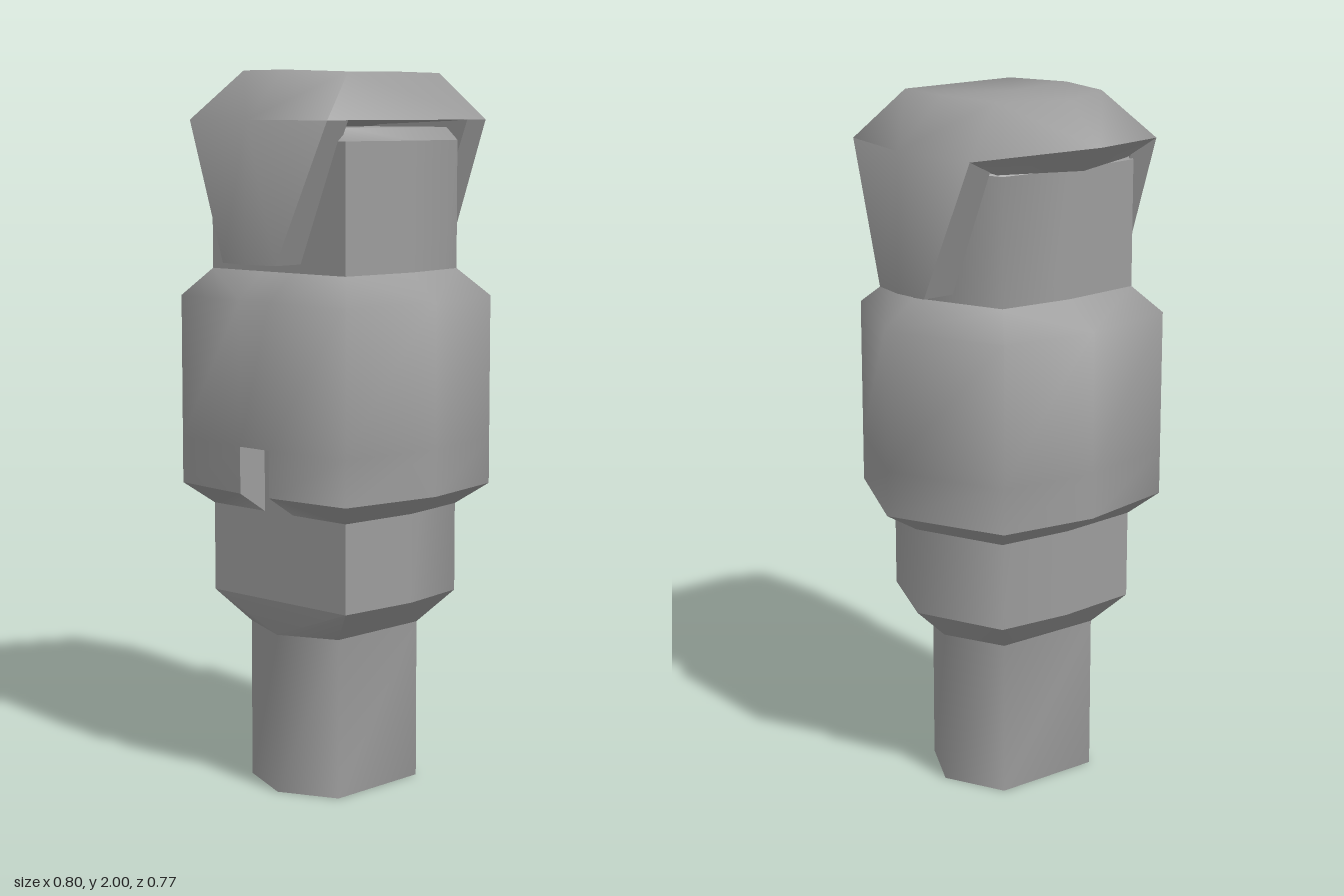
import * as THREE from 'three';
import { mergeGeometries, toCreasedNormals } from 'three/addons/utils/BufferGeometryUtils.js';

const material = new THREE.MeshStandardMaterial({ color: 0x9c9c9c });

// Ring of [x, z] (or [x, z, own y]) points, listed back -> +x -> front -> -x.
const ring = (y, pts) => pts.map(([x, z, py = y]) => new THREE.Vector3(x, py, z));

// Ring scaled about the body axis.
const scaled = (pts, s) => pts.map(([x, z]) => [0.025 + (x - 0.025) * s, z * s]);

// Triangles between a lower and an upper row of points, split along the shorter diagonal.
function strip(a, b, closed = true) {
  const tris = [];
  const n = a.length;
  for (let i = 0; i < (closed ? n : n - 1); i++) {
    const j = (i + 1) % n;
    if (a[i].distanceTo(b[j]) < a[j].distanceTo(b[i])) tris.push([a[j], a[i], b[j]], [a[i], b[i], b[j]]);
    else tris.push([a[j], a[i], b[i]], [a[j], b[i], b[j]]);
  }
  return tris;
}

// Triangles closing a ring, facing up or down.
function fan(r, up) {
  const c = r.reduce((s, p) => s.add(p), new THREE.Vector3()).divideScalar(r.length);
  return r.map((p, i) => {
    const q = r[(i + 1) % r.length];
    return up ? [c, q, p] : [c, p, q];
  });
}

// Geometry from triangles with creased normals; empty triangles are skipped.
function facets(tris, crease) {
  const pos = [];
  for (const [a, b, c] of tris) {
    const area = b.clone().sub(a).cross(c.clone().sub(a)).length();
    if (area > 1e-7) for (const p of [a, b, c]) pos.push(p.x, p.y, p.z);
  }
  const g = new THREE.BufferGeometry();
  g.setAttribute('position', new THREE.Float32BufferAttribute(pos, 3));
  return toCreasedNormals(g, crease);
}

// Mesh from groups of triangles; shading is smooth within a group only.
function part(name, groups, crease) {
  const mesh = new THREE.Mesh(mergeGeometries(groups.map((t) => facets(t, crease))), material);
  mesh.name = name;
  return mesh;
}

export function createModel() {
  const model = new THREE.Group();
  model.name = 'cappedBody';

  // Cross-sections
  const foot = [[0.03, -0.19], [0.203, -0.1], [0.198, 0.22], [0.03, 0.29], [0.03, 0.29], [-0.15, 0.21], [-0.145, -0.11]];
  const neck = [[0.03, -0.285], [0.275, -0.18], [0.3, 0.035], [0.275, 0.275], [-0.23, 0.275], [-0.247, 0.035], [-0.225, -0.18]];
  const body = [[0.03, -0.385], [0.353, -0.235], [0.396, 0.045], [0.34, 0.345], [-0.285, 0.345], [-0.342, 0.045], [-0.3, -0.235]];

  // Foot and the core that runs up through the body
  const core = [
    ring(0, foot), ring(0.45, foot), ring(0.54, neck), ring(1.81, neck), ring(1.845, scaled(neck, 0.9)),
  ];
  model.add(part('core', [
    fan(core[0], false),
    ...core.slice(1).map((r, k) => strip(core[k], r)),
    fan(core[4], true),
  ], 1.2));

  // Wide body; its front points step inwards below y = 0.98 to leave the notch
  const withFront = (pts, zFront, zNotch) => [
    ...pts.slice(0, 4), [0.08, zFront], [0.08, zNotch], [-0.03, zNotch], [-0.03, zFront], ...pts.slice(4),
  ];
  const wide = [
    ring(0.79, withFront(neck, 0.276, 0.274)),
    ring(0.85, withFront(body, 0.37, 0.274)),
    ring(0.98, withFront(body, 0.37, 0.274)),
    ring(0.98, withFront(body, 0.37, 0.37)),
    ring(1.38, withFront(body, 0.37, 0.37)),
    ring(1.455, withFront(neck, 0.277, 0.277)),
  ];
  const bands = wide.slice(1).map((r, k) => strip(wide[k], r));
  model.add(part('body', [bands[0], bands.slice(1).flat()], 1.4));

  // Cap with a pointed peak on one side
  const under = ring(1.865, [[0.01, -0.3], [0.265, -0.28], [0.265, 0.3], [0.01, 0.32], [-0.24, 0.24, 1.82], [-0.33, 0.01, 1.82], [-0.24, -0.21, 1.82]]);
  const rim = ring(1.865, [[0.01, -0.348], [0.27, -0.308], [0.27, 0.34], [0.01, 0.38], [-0.25, 0.34], [-0.4, 0.01, 1.89], [-0.25, -0.308]]);
  const crown = ring(2, [[0.01, -0.2], [0.215, -0.17, 1.993], [0.215, 0.2, 1.993], [0.01, 0.235], [-0.18, 0.2], [-0.28, 0.01], [-0.18, -0.17]]);
  const shell = [...strip(rim, crown), ...fan(crown, true)];
  const inside = [...fan(under, false), ...strip(under, rim)];

  // Tapered flaps hanging from the cap; the back one is the front one turned half round
  const flapTop = [[-0.25, 0.26], [0.27, 0.26], [0.27, 0.34], [0.01, 0.38], [-0.25, 0.34]];
  const flapEnd = [[-0.09, 0.275], [0.11, 0.275], [0.11, 0.372], [0.01, 0.385], [-0.09, 0.372]];
  const turned = (pts) => pts.map(([x, z]) => [0.02 - x, 0.032 - z]);
  const flapSides = [];
  for (const [end, top] of [[flapEnd, flapTop], [turned(flapEnd), turned(flapTop)]]) {
    const a = ring(1.48, end), b = ring(1.865, top);
    const sides = (r) => [r[4], r[0], r[1], r[2]];
    shell.push(...strip(a.slice(2), b.slice(2), false));
    flapSides.push(...strip(sides(a), sides(b), false), ...fan(a, false));
  }
  model.add(part('cap', [shell], 1.35));
  model.add(part('capUnderside', [inside], 0.6));
  model.add(part('flapSides', [flapSides], 0.6));

  return model;
}
